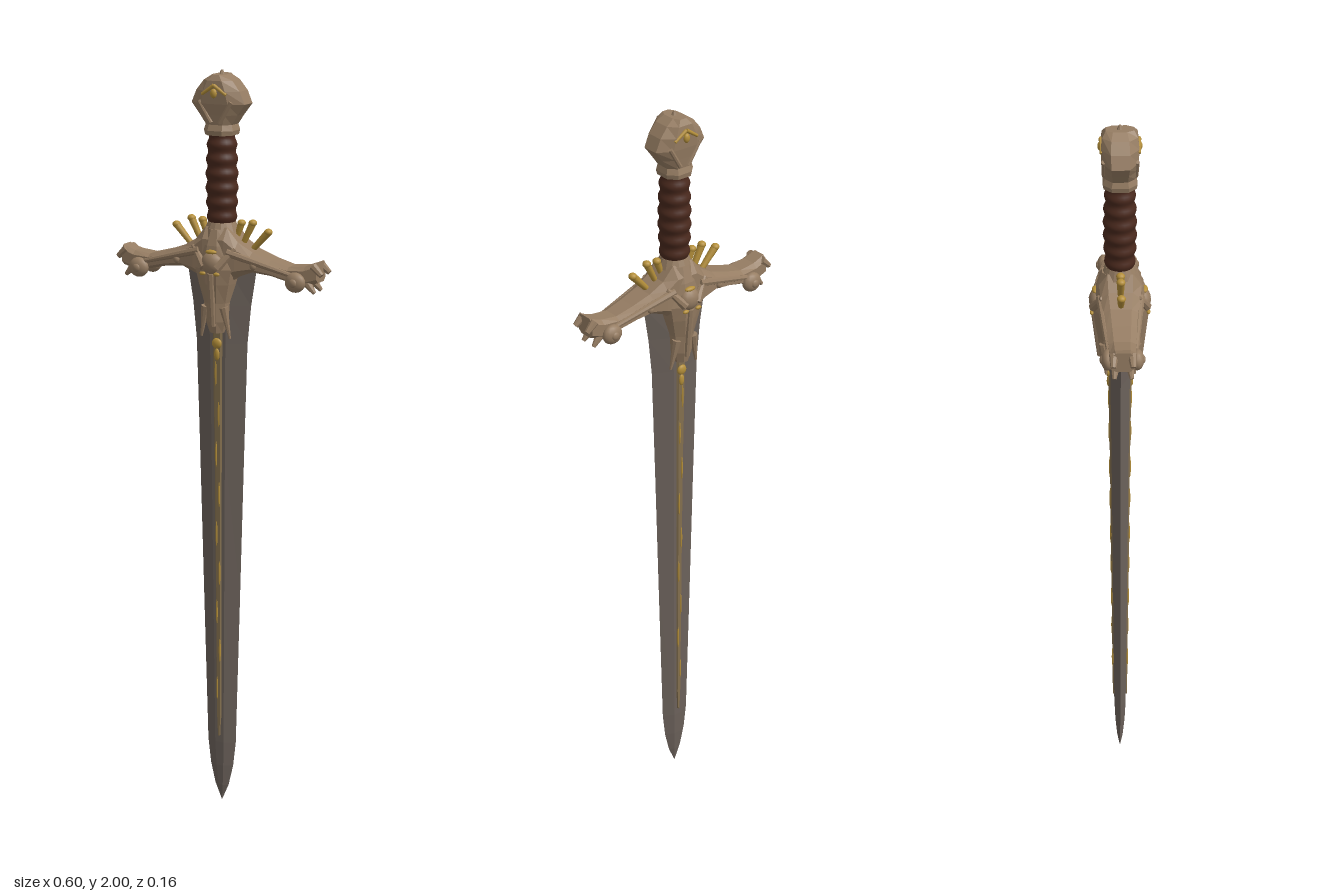
import * as THREE from 'three';

const mat = (name, color, flatShading = false) => {
  const m = new THREE.MeshStandardMaterial({ color, flatShading });
  m.name = name;
  return m;
};

// Skin a list of equal-length rings, close both ends, and face it outward.
function loft(rings) {
  const n = rings[0].length, tris = [];
  const tri = (a, b, c) => tris.push([a, b, c]);
  for (let i = 0; i < rings.length - 1; i++) {
    for (let j = 0; j < n; j++) {
      const k = (j + 1) % n, a = rings[i], b = rings[i + 1];
      tri(a[j], a[k], b[k]);
      tri(a[j], b[k], b[j]);
    }
  }
  const first = rings[0], last = rings[rings.length - 1];
  for (let j = 1; j < n - 1; j++) {
    tri(first[0], first[j + 1], first[j]);
    tri(last[0], last[j], last[j + 1]);
  }
  const volume = tris.reduce((s, [a, b, c]) => s + a.dot(b.clone().cross(c)), 0);
  const pts = tris.flatMap(([a, b, c]) => (volume < 0 ? [a, c, b] : [a, b, c]));
  const g = new THREE.BufferGeometry().setFromPoints(pts);
  g.computeVertexNormals();
  return g;
}

// Cut-corner rectangle, as pairs.
const octagon = (a, b, c = 0.55) => [
  [a, b * c], [a * c, b], [-a * c, b], [-a, b * c],
  [-a, -b * c], [-a * c, -b], [a * c, -b], [a, -b * c],
];
const V = (x, y, z) => new THREE.Vector3(x, y, z);

export function createModel() {
  const steel = mat('steel', 0x6c625b, true);
  const bronze = mat('bronze', 0x967d63, true);
  const bronzeSmooth = mat('smooth bronze', 0x967d63);
  const inlayBronze = mat('fuller bronze', 0x84704f, true);
  const gold = mat('gold', 0xb48f3a);
  const leather = mat('leather', 0x4a291d);

  const sword = new THREE.Group();
  sword.name = 'sword';
  const add = (name, geometry, material, parent = sword) => {
    const m = new THREE.Mesh(geometry, material);
    m.name = name;
    parent.add(m);
    return m;
  };
  const ball = (name, material, p, s, parent = sword) => {
    const m = add(name, new THREE.SphereGeometry(1, 14, 10), material, parent);
    m.position.set(...p);
    m.scale.set(...s);
    return m;
  };
  // Tapered rod between two points
  const rod = (name, material, p, q, r0, r1, parent = sword) => {
    const a = V(...p), b = V(...q), d = b.clone().sub(a);
    const m = add(name, new THREE.CylinderGeometry(r1, r0, d.length(), 8), material, parent);
    m.position.copy(a).add(b).multiplyScalar(0.5);
    m.quaternion.setFromUnitVectors(V(0, 1, 0), d.normalize());
    return m;
  };

  // Blade: bevelled edges, leaf point [y, half width, half thickness]
  const blade = [
    [0.005, 0.001, 0.001], [0.05, 0.02, 0.008], [0.11, 0.034, 0.013], [0.18, 0.042, 0.016],
    [0.6, 0.054, 0.019], [1.0, 0.065, 0.022], [1.3, 0.074, 0.025], [1.4, 0.084, 0.027], [1.5, 0.1, 0.028],
  ];
  add('blade', loft(blade.map(([y, w, t]) => [
    [w, 0], [w * 0.3, t], [-w * 0.3, t], [-w, 0], [-w * 0.3, -t], [w * 0.3, -t],
  ].map(([x, z]) => V(x, y, z)))), steel);

  // Raised fuller strip with gold inlay on both faces
  for (const s of [1, -1]) {
    const strip = [[0.2, 0.004, 0.016], [0.26, 0.009, 0.0165], [0.6, 0.011, 0.019],
      [1.0, 0.014, 0.022], [1.34, 0.018, 0.026]];
    add('fullerStrip', loft(strip.map(([y, w, z]) => [
      V(w, y, s * (z - 0.004)), V(w * 0.5, y, s * (z + 0.004)),
      V(-w * 0.5, y, s * (z + 0.004)), V(-w, y, s * (z - 0.004)),
    ])), inlayBronze);
    for (let i = 0; i < 9; i++) {
      const y = 0.34 + i * 0.11, z = 0.0165 + (y - 0.26) * 0.0088 + 0.003;
      ball('fullerInlay', gold, [0.004 * (i % 2 ? 1 : -1), y, s * z], [0.003, 0.035, 0.003]);
    }
    ball('fullerFinial', gold, [0, 1.3, s * 0.03], [0.014, 0.014, 0.007]);
    ball('fullerFinial', gold, [0, 1.27, s * 0.029], [0.008, 0.016, 0.005]);
  }

  // Crossguard: one bar with drooping arms [x, bottom, top, half depth]
  const half = [[0.03, 1.455, 1.605, 0.053], [0.06, 1.48, 1.57, 0.05], [0.1, 1.495, 1.547, 0.044],
    [0.15, 1.49, 1.53, 0.039], [0.2, 1.478, 1.517, 0.034], [0.245, 1.472, 1.522, 0.032], [0.28, 1.482, 1.535, 0.029]];
  const bar = [...half.map(([x, ...r]) => [-x, ...r]).reverse(), ...half];
  add('crossguard', loft(bar.map(([x, lo, hi, d]) =>
    octagon((hi - lo) / 2, d, 0.6).map(([y, z]) => V(x, (lo + hi) / 2 + y, z)))), bronze);

  for (const sx of [1, -1]) {
    // Gold quills fanning from the top of the guard
    for (const [x0, y0, x1, y1] of [[0.04, 1.57, 0.056, 1.615], [0.055, 1.55, 0.088, 1.617], [0.08, 1.54, 0.132, 1.597]]) {
      rod('quill', gold, [sx * x0, y0, 0], [sx * x1, y1, 0], 0.007, 0.01);
      ball('quillTip', gold, [sx * x1, y1, 0], [0.011, 0.009, 0.011]);
    }
    for (const sz of [1, -1]) {
      // Scrolls, ridges and claws on each arm
      ball('armScroll', bronzeSmooth, [sx * 0.225, 1.482, sz * 0.036], [0.028, 0.026, 0.017]);
      ball('scrollEye', bronzeSmooth, [sx * 0.225, 1.482, sz * 0.05], [0.011, 0.011, 0.006]);
      rod('armRidge', bronze, [sx * 0.04, 1.545, sz * 0.05], [sx * 0.21, 1.499, sz * 0.034], 0.011, 0.006);
      rod('endClaw', bronze, [sx * 0.268, 1.525, sz * 0.022], [sx * 0.293, 1.503, sz * 0.024], 0.012, 0.007);
      rod('lowerClaw', bronze, [sx * 0.25, 1.48, sz * 0.018], [sx * 0.272, 1.456, sz * 0.021], 0.012, 0.005);
      ball('guardBead', bronzeSmooth, [sx * 0.11, 1.515, sz * 0.043], [0.009, 0.011, 0.008]);
      // Langet prongs and brow horns
      rod('langetProng', bronze, [sx * 0.026, 1.4, sz * 0.042], [sx * 0.041, 1.318, sz * 0.036], 0.012, 0.003);
      rod('browHorn', bronze, [sx * 0.018, 1.505, sz * 0.066], [sx * 0.06, 1.555, sz * 0.045], 0.013, 0.006);
      ball('gem', gold, [sx * 0.02, 1.49, sz * 0.071], [0.009, 0.005, 0.005]);
    }
  }

  // Langets: tapering masks over the blade, front and back
  for (const s of [1, -1]) {
    const mask = [[1.33, 0.022, 0.046], [1.36, 0.032, 0.052], [1.41, 0.036, 0.056],
      [1.46, 0.05, 0.064], [1.5, 0.06, 0.068], [1.56, 0.045, 0.058], [1.6, 0.03, 0.045]];
    add('langet', loft(mask.map(([y, w, z]) => [
      V(w, y, s * 0.015), V(w * 0.85, y, s * z * 0.75), V(w * 0.3, y, s * z),
      V(-w * 0.3, y, s * z), V(-w * 0.85, y, s * z * 0.75), V(-w, y, s * 0.015),
    ])), bronze);
    ball('maskBrow', bronzeSmooth, [0, 1.515, s * 0.057], [0.03, 0.03, 0.021]);
    rod('maskNose', bronze, [0, 1.49, s * 0.063], [0, 1.35, s * 0.05], 0.011, 0.008);
    ball('maskCrest', gold, [0, 1.545, s * 0.062], [0.016, 0.006, 0.008]);
  }

  // Grip: swelling lathe with wrapped cord ridges
  const profile = [];
  for (let i = 0; i <= 56; i++) {
    const t = i / 56;
    profile.push(new THREE.Vector2(0.034 + 0.006 * Math.sin(Math.PI * t) + 0.0025 * Math.cos(t * Math.PI * 14), 1.59 + t * 0.26));
  }
  add('grip', new THREE.LatheGeometry(profile, 24), leather);
  const collar = add('gripCollar', new THREE.CylinderGeometry(0.036, 0.046, 0.025, 16), bronze);
  collar.position.y = 1.603;

  // Pommel: wide faceted head [y, half width, half depth]
  const pommel = [[1.838, 0.038, 0.04], [1.85, 0.041, 0.042], [1.865, 0.037, 0.037], [1.89, 0.054, 0.04],
    [1.918, 0.075, 0.044], [1.95, 0.061, 0.046], [1.976, 0.04, 0.043], [1.99, 0.018, 0.034]];
  add('pommel', loft(pommel.map(([y, a, b]) => octagon(a, b, 0.5).map(([x, z]) => V(x, y, z)))), bronze);
  rod('pommelSpike', bronze, [0, 1.98, 0], [0, 2, 0], 0.012, 0.003);
  for (const s of [1, -1]) {
    // Gold chevron and bead on each pommel face
    for (const sx of [1, -1]) {
      rod('pommelChevron', gold, [0, 1.965, s * 0.046], [sx * 0.034, 1.942, s * 0.045], 0.005, 0.004);
      rod('pommelRidge', bronze, [sx * 0.012, 1.87, s * 0.038], [sx * 0.045, 1.925, s * 0.04], 0.006, 0.006);
    }
    ball('pommelBead', gold, [0, 1.945, s * 0.047], [0.009, 0.012, 0.007]);
  }
  return sword;
}
